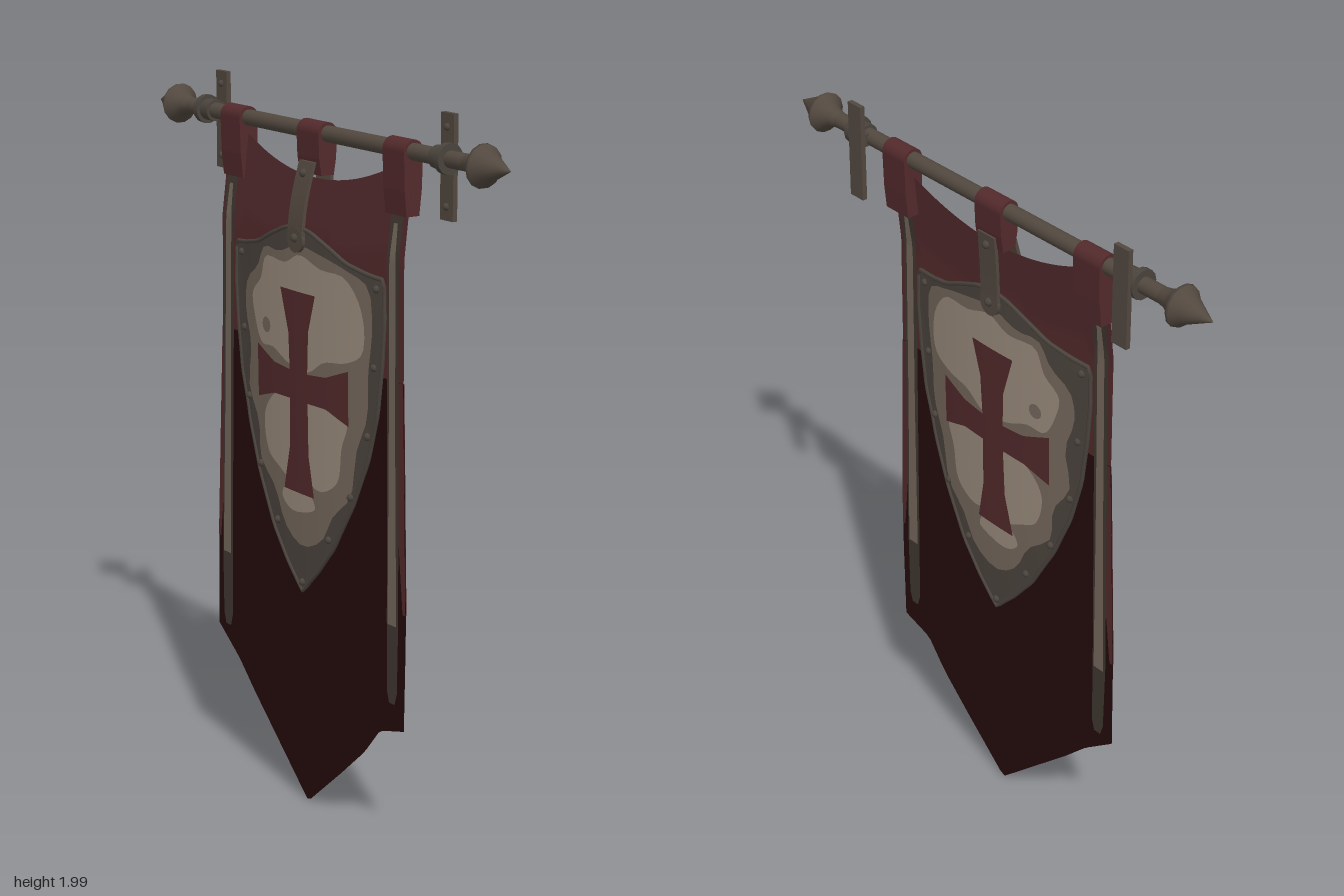
import * as THREE from 'three';
import { ParametricGeometry } from 'three/addons/geometries/ParametricGeometry.js';

const MID = 0.018; // plane of the hanging cloth
const CX = -0.01; // centre line of the shields
const ROD_Y = 1.895, ROD_Z = -0.01;

const mat = (name, color) => {
  const m = new THREE.MeshStandardMaterial({ color, side: THREE.DoubleSide });
  m.name = name;
  return m;
};

// Piecewise linear lookup in [[key, value], ...]
function lookup(table, k) {
  if (k <= table[0][0]) return table[0][1];
  for (let i = 1; i < table.length; i++) {
    const [a, va] = table[i - 1], [b, vb] = table[i];
    if (k <= b) return va + (vb - va) * (k - a) / (b - a);
  }
  return table[table.length - 1][1];
}

const leftEdge = [[0.41, -0.465], [0.68, -0.46], [1.3, -0.43], [1.9, -0.425]];
const rightEdge = [[0.36, 0.425], [0.64, 0.43], [1.3, 0.41], [1.9, 0.405]];
const hem = [[-0.465, 0.41], [-0.36, 0.33], [-0.28, 0.25], [-0.15, 0.13], [-0.015, 0.005],
  [0.14, 0.14], [0.25, 0.24], [0.32, 0.325], [0.425, 0.355]];
const clothZ = (y) => lookup([[1.62, MID], [1.86, ROD_Z]], y);

// Bulge of a shield away from the cloth
const bulge = (x, y) => Math.max(0.004, 0.022 + 0.015 * (y - 0.64) - 0.3 * (x - CX) ** 2);

// Closed outline with its straight edges subdivided
function subdivide(points, n) {
  return points.flatMap(([x, y], i) => {
    const [x2, y2] = points[(i + 1) % points.length];
    return Array.from({ length: n }, (_, k) => [x + (x2 - x) * k / n, y + (y2 - y) * k / n]);
  });
}
function smooth(points, n = 56) {
  const c = new THREE.CatmullRomCurve3(points.map(([x, y]) => new THREE.Vector3(x, y, 0)), true);
  return c.getPoints(n).slice(0, n).map((p) => [p.x, p.y]);
}

// Curved plate that follows the shield, built as shrinking rings round a centre
function shieldPatch(outline, centre, lift, side) {
  const rings = 7, n = outline.length, pos = [], idx = [];
  for (let r = 0; r <= rings; r++) {
    for (const [ox, oy] of outline) {
      const x = centre[0] + (ox - centre[0]) * r / rings;
      const y = centre[1] + (oy - centre[1]) * r / rings;
      pos.push(x, y, MID + side * (bulge(x, y) + lift));
    }
  }
  const area = outline.reduce((s, [x, y], i) => {
    const [u, v] = outline[(i + 1) % n];
    return s + x * v - u * y;
  }, 0);
  const flip = area * side < 0;
  for (let r = 0; r < rings; r++) {
    for (let i = 0; i < n; i++) {
      const j = (i + 1) % n, a = r * n + i, b = r * n + j, c = a + n, d = b + n;
      if (flip) idx.push(a, d, c, a, b, d);
      else idx.push(a, c, d, a, d, b);
    }
  }
  const g = new THREE.BufferGeometry();
  g.setAttribute('position', new THREE.Float32BufferAttribute(pos, 3));
  g.setIndex(idx);
  g.computeVertexNormals();
  return g;
}

export function createModel() {
  const model = new THREE.Group();
  const metal = mat('dark iron', 0x4b443d);
  const iron = mat('rod iron', 0x52483f);
  const worn = mat('worn paint', 0x75685c);
  const pale = mat('pale paint', 0x9b8c7d);
  const red = mat('faded red', 0x532a2c);
  const dark = mat('dark red cloth', 0x240c0c);
  const trim = mat('dark trim', 0x403731);

  const add = (name, geo, material, parent = model) => {
    const m = new THREE.Mesh(geo, material);
    m.name = name;
    parent.add(m);
    return m;
  };

  // Cloth: red upper part with a sagging top, dark lower part with a pointed hem
  const cloth = (top, bottom) => new ParametricGeometry((u, v, p) => {
    const x0 = -0.465 + 0.89 * u;
    const y = top(x0) + (bottom(x0) - top(x0)) * v;
    const x = lookup(leftEdge, y) * (1 - u) + lookup(rightEdge, y) * u;
    p.set(x, y, clothZ(y));
  }, 48, 12);
  const split = () => 1.3;
  add('upperCloth', cloth((x) => Math.min(1.85, 1.775 + 0.6 * (x - CX) ** 2), split), red);
  add('lowerCloth', cloth(split, (x) => lookup(hem, x)), dark);

  // Thin strip lying on the cloth; rows are [y, x, half width]
  const strip = (rows, lift) => {
    const centre = rows.map(([y, x]) => [y, x]), half = rows.map(([y, , w]) => [y, w]);
    const y0 = rows[0][0], y1 = rows[rows.length - 1][0];
    return new ParametricGeometry((u, v, p) => {
      const y = y0 + (y1 - y0) * v;
      p.set(lookup(centre, y) + (u * 2 - 1) * lookup(half, y), y, clothZ(y) + lift);
    }, 1, 40);
  };
  for (const s of [1, -1]) {
    for (const [side, top, bot, edge] of [['right', -0.388, -0.41, leftEdge], ['left', 0.365, 0.376, rightEdge]]) {
      const out = Math.sign(top), low = lookup(edge, 0.68), high = lookup(edge, 1.3);
      add(side + 'RedEdge', strip([[0.68, low - out * 0.006, 0.006], [1.0, (low + high) / 2 - out * 0.018, 0.018],
        [1.3, high - out * 0.025, 0.025]], s * 0.002), red);
      add(side + 'TrimBand', strip([[0.42, bot, 0.012], [0.45, bot, 0.022], [0.65, bot, 0.025],
        [1.6, top, 0.025], [1.75, top, 0.025]], s * 0.004), trim);
      add(side + 'WornTrim', strip([[0.64, bot, 0.019], [1.1, (top + bot) / 2, 0.014], [1.6, top, 0.013],
        [1.71, top, 0.008]], s * 0.006), worn);
    }
  }

  // Shields on both faces of the cloth
  const half = [[0, 1.65], [0.06, 1.64], [0.13, 1.612], [0.2, 1.58], [0.27, 1.565], [0.338, 1.555], [0.342, 1.45], [0.333, 1.33],
    [0.315, 1.2], [0.275, 1.06], [0.22, 0.93], [0.14, 0.79], [0.07, 0.705], [0, 0.635]];
  const mirrored = [...half.map(([x, y]) => [CX + x, y]),
    ...half.slice(1, -1).reverse().map(([x, y]) => [CX - x, y])];
  const outline = subdivide(mirrored, 3);
  const wornArea = smooth([[-0.01, 1.6], [0.1, 1.585], [0.2, 1.56], [0.27, 1.53], [0.285, 1.42], [0.27, 1.3],
    [0.265, 1.18], [0.225, 1.08], [0.2, 0.95], [0.13, 0.88], [0.08, 0.8], [-0.01, 0.765], [-0.09, 0.81],
    [-0.14, 0.9], [-0.22, 0.97], [-0.23, 1.07], [-0.285, 1.16], [-0.27, 1.28], [-0.3, 1.38], [-0.285, 1.46], [-0.22, 1.51], [-0.18, 1.57], [-0.1, 1.57]]);
  const paleAreas = [
    [[-0.24, 1.37], [-0.25, 1.43], [-0.2, 1.48], [-0.17, 1.545], [-0.07, 1.545], [0, 1.575], [0.09, 1.55],
      [0.19, 1.54], [0.25, 1.46], [0.25, 1.35], [0.19, 1.315], [0.1, 1.3], [0.03, 1.26], [-0.06, 1.27], [-0.14, 1.3], [-0.2, 1.3]],
    [[-0.19, 1.1], [-0.13, 1.17], [-0.05, 1.17], [-0.04, 1.05], [-0.06, 0.95], [-0.12, 0.97], [-0.17, 1.0]],
    [[0.02, 1.17], [0.12, 1.17], [0.19, 1.15], [0.17, 1.08], [0.15, 0.98], [0.08, 0.94], [0.03, 0.96]],
    [[-0.1, 0.89], [-0.08, 0.925], [0.03, 0.925], [0.055, 0.885], [0.01, 0.865], [-0.06, 0.86]],
  ];
  const cross = subdivide([[-0.09, 1.475], [0.07, 1.475], [0.04, 1.4], [0.032, 1.255], [0.11, 1.262], [0.2, 1.295],
    [0.2, 1.145], [0.11, 1.175], [0.032, 1.175], [0.033, 1.03], [0.055, 0.915], [-0.085, 0.915],
    [-0.055, 1.03], [-0.05, 1.175], [-0.13, 1.172], [-0.22, 1.145], [-0.22, 1.295], [-0.13, 1.26],
    [-0.05, 1.255], [-0.055, 1.4]], 4);
  const rivets = [[0.31, 1.53], [0.3, 1.32], [0.275, 1.13], [0.21, 0.95], [0.12, 0.81]];

  for (const [name, s] of [['front', 1], ['back', -1]]) {
    const shield = new THREE.Group();
    shield.name = name + 'Shield';
    model.add(shield);
    add('shieldPlate', shieldPatch(outline, [CX, 1.25], 0, s), metal, shield);
    const rim = new THREE.CatmullRomCurve3(outline.map(([x, y]) => new THREE.Vector3(x, y, MID + s * bulge(x, y))), true);
    add('shieldRim', new THREE.TubeGeometry(rim, 110, 0.006, 6, true), metal, shield);
    add('wornField', shieldPatch(wornArea, [CX, 1.25], 0.0015, s), worn, shield);
    for (const a of paleAreas) {
      const c = [0, 1].map((k) => a.reduce((t, p) => t + p[k], 0) / a.length);
      add('paleField', shieldPatch(smooth(a), c, 0.003, s), pale, shield);
    }
    const dent = Array.from({ length: 12 }, (_, i) => [-0.17 + 0.022 * Math.cos(i * Math.PI / 6), 1.355 + 0.022 * Math.sin(i * Math.PI / 6)]);
    add('dent', shieldPatch(dent, [-0.17, 1.355], 0.0045, s), worn, shield);
    add('cross', shieldPatch(cross, [CX, 1.215], 0.0055, s), red, shield);
    const spots = [[CX, 0.66], ...rivets.flatMap(([x, y]) => [[CX + x, y], [CX - x, y]])];
    for (const [x, y] of spots) {
      add('rivet', new THREE.SphereGeometry(0.011, 8, 6), metal, shield).position.set(x, y, MID + s * bulge(x, y));
    }

    // Metal hanger from the middle loop to the shield
    const zTop = s > 0 ? 0.022 : -0.036, zLow = s > 0 ? 0.06 : -0.026;
    const strapZ = (y) => zTop + (zLow - zTop) * Math.sin(Math.min(1, (1.82 - y) / 0.2) * Math.PI / 2);
    const strap = new THREE.BoxGeometry(0.065, 0.21, 0.01, 1, 8, 1);
    const p = strap.attributes.position;
    for (let i = 0; i < p.count; i++) p.setXYZ(i, p.getX(i) + CX, p.getY(i) + 1.715, p.getZ(i) + strapZ(p.getY(i) + 1.715));
    strap.computeVertexNormals();
    add('hanger', strap, iron, shield);
    const end = add('hangerEnd', new THREE.CylinderGeometry(0.035, 0.035, 0.01, 14), iron, shield);
    end.rotation.x = Math.PI / 2;
    end.position.set(CX, 1.615, zLow);
    for (const y of [1.79, 1.62]) {
      add('hangerRivet', new THREE.SphereGeometry(0.012, 8, 6), metal, shield).position.set(CX, y, strapZ(y) + s * 0.005);
    }
  }

  // Cloth loops over the rod
  const loop = (x, width, low) => {
    const sh = new THREE.Shape();
    sh.moveTo(-0.03, 0);
    sh.absarc(0, 0, 0.03, Math.PI, 0, true);
    sh.lineTo(0.027, low * 0.6);
    sh.lineTo(0.02, low);
    sh.lineTo(-0.02, low);
    sh.lineTo(-0.027, low * 0.6);
    const g = new THREE.ExtrudeGeometry(sh, { depth: width, bevelEnabled: false, curveSegments: 12 });
    g.translate(0, 0, -width / 2).rotateY(Math.PI / 2);
    add('clothLoop', g, red).position.set(x, ROD_Y, ROD_Z);
  };
  loop(-0.383, 0.095, -0.165);
  loop(0.36, 0.09, -0.165);
  loop(-0.015, 0.1, -0.11);

  // Rod with spear finials, collars and wall brackets
  const rod = add('rod', new THREE.CylinderGeometry(0.022, 0.022, 1.3, 14), iron);
  rod.rotation.z = Math.PI / 2;
  rod.position.set(0, ROD_Y, ROD_Z);
  const spear = [[0.022, 0.62], [0.027, 0.645], [0.037, 0.665], [0.056, 0.682], [0.054, 0.69], [0.038, 0.71], [0.016, 0.755], [0, 0.788]];
  for (const s of [1, -1]) {
    const finial = add('finial', new THREE.LatheGeometry(spear.map(([r, y]) => new THREE.Vector2(r, y)), 14), iron);
    finial.rotation.z = -s * Math.PI / 2;
    finial.position.set(0, ROD_Y, ROD_Z);
    for (const [x, r, w] of [[0.545, 0.04, 0.018], [0.525, 0.03, 0.05]]) {
      const collar = add('collar', new THREE.CylinderGeometry(r, r, w, 14), metal);
      collar.rotation.z = Math.PI / 2;
      collar.position.set(s * x, ROD_Y, ROD_Z);
    }
    const px = s > 0 ? 0.497 : -0.522;
    add('bracketPlate', new THREE.BoxGeometry(0.052, 0.27, 0.014), iron).position.set(px, 1.865, -0.051);
    add('bracketArm', new THREE.BoxGeometry(0.035, 0.035, 0.04), metal).position.set(px, ROD_Y, -0.03);
    for (const y of [1.765, 1.965]) {
      add('bracketBolt', new THREE.SphereGeometry(0.01, 8, 6), metal).position.set(px, y, -0.044);
    }
  }
  return model;
}
